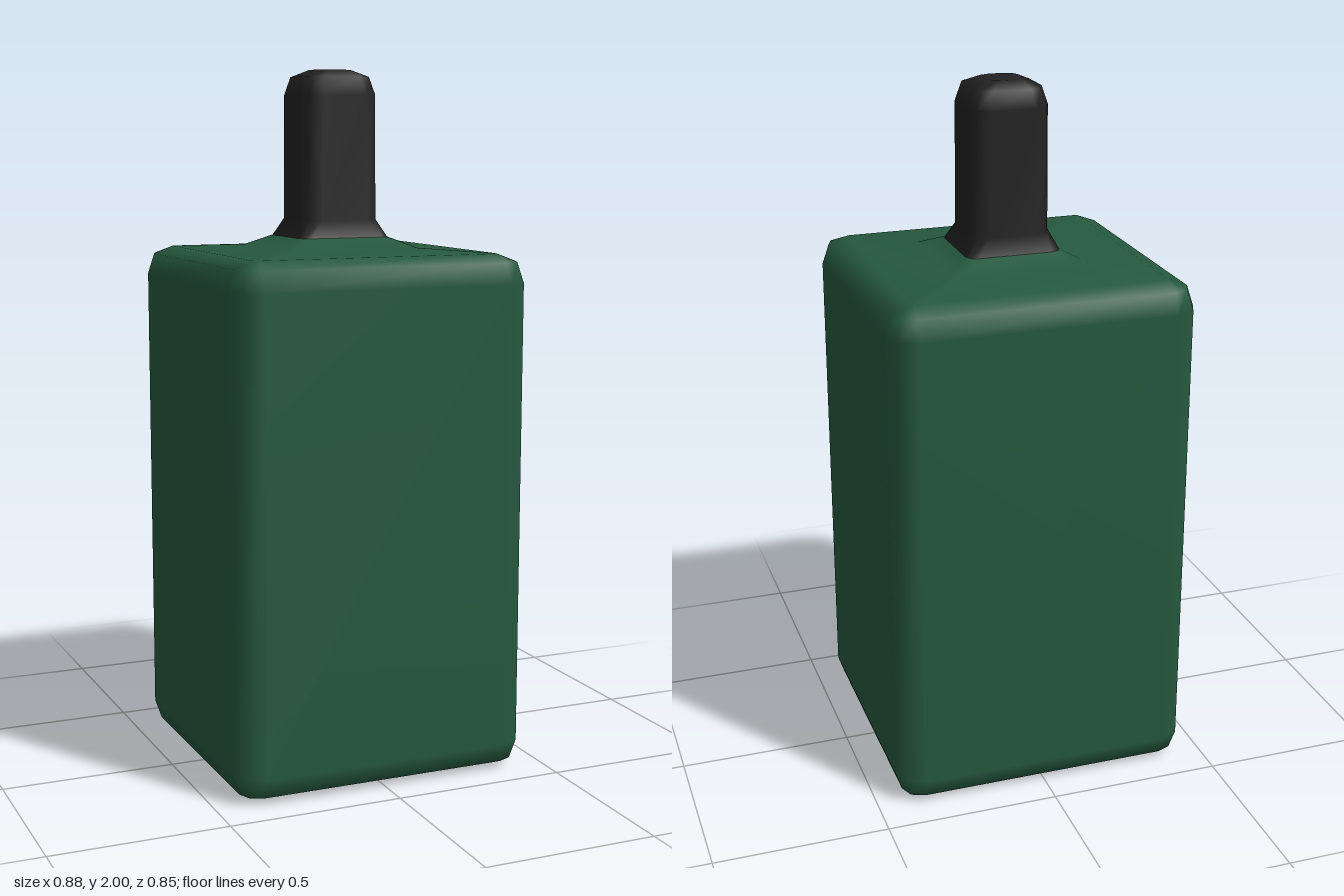
import * as THREE from 'three';

const CORNER_STEPS = 2;

// Rounded-rectangle ring: half width hx, half depth hz, corner radius r, height y
function ring([hx, hz, r, y]) {
  const points = [];
  for (let q = 0; q < 4; q++) {
    const sx = q === 0 || q === 3 ? 1 : -1;
    const sz = q < 2 ? 1 : -1;
    for (let i = 0; i <= CORNER_STEPS; i++) {
      const a = (q + i / CORNER_STEPS) * Math.PI / 2;
      points.push([sx * (hx - r) + r * Math.cos(a), y, sz * (hz - r) + r * Math.sin(a)]);
    }
  }
  return points;
}

// Smooth skin through the rings from bottom to top, with optional end caps
function loft(sections, capBottom, capTop) {
  const n = 4 * (CORNER_STEPS + 1);
  const last = (sections.length - 1) * n;
  const points = sections.flatMap(ring);
  const index = [];
  for (let s = 0; s < last; s += n) {
    for (let j = 0; j < n; j++) {
      const k = (j + 1) % n;
      index.push(s + j, s + n + j, s + k, s + k, s + n + j, s + n + k);
    }
  }
  const cap = (start, y, up) => {
    const c = points.push([0, y, 0]) - 1;
    for (let j = 0; j < n; j++) {
      const k = (j + 1) % n;
      index.push(c, start + (up ? k : j), start + (up ? j : k));
    }
  };
  if (capBottom) cap(0, sections[0][3], false);
  if (capTop) cap(last, sections.at(-1)[3], true);
  const geometry = new THREE.BufferGeometry();
  geometry.setAttribute('position', new THREE.Float32BufferAttribute(points.flat(), 3));
  geometry.setIndex(index);
  geometry.computeVertexNormals();
  return geometry;
}

export function createModel() {
  const group = new THREE.Group();
  const green = new THREE.MeshStandardMaterial({ color: 0x26593f });
  green.name = 'bottle green';
  const black = new THREE.MeshStandardMaterial({ color: 0x222222 });
  black.name = 'cap black';

  // Square bottle with softened edges and a low raised shoulder
  const body = new THREE.Mesh(loft([
    [0.365, 0.35, 0.01, 0],
    [0.42, 0.405, 0.055, 0.022],
    [0.44, 0.425, 0.075, 0.08],
    [0.44, 0.425, 0.075, 1.41],
    [0.42, 0.405, 0.055, 1.468],
    [0.365, 0.35, 0.01, 1.49],
    [0.2, 0.19, 0.02, 1.5],
    [0.137, 0.13, 0.03, 1.53],
  ], true, false), green);
  body.name = 'bottleBody';
  group.add(body);

  // Tall neck with a flared foot and a rounded top
  const neck = new THREE.Mesh(loft([
    [0.137, 0.13, 0.03, 1.53],
    [0.115, 0.11, 0.045, 1.58],
    [0.115, 0.11, 0.05, 1.93],
    [0.1, 0.095, 0.045, 1.98],
    [0.055, 0.052, 0.03, 2],
  ], false, true), black);
  neck.name = 'neckCap';
  group.add(neck);

  return group;
}
